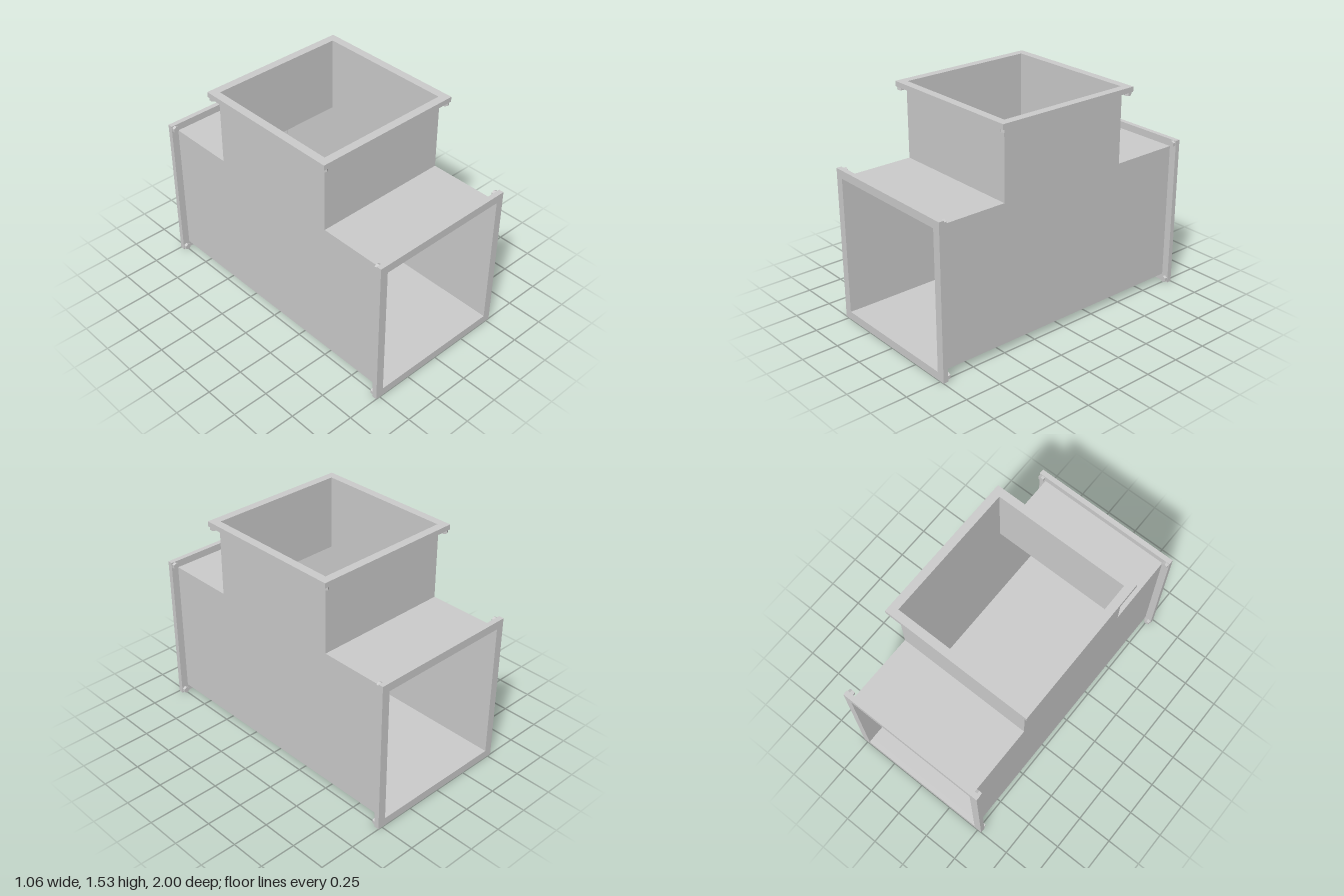
import * as THREE from 'three';

const HALF = 0.48;    // half width of the duct, outside
const WALL = 0.004;   // sheet thickness
const AXIS = 0.53;    // height of the main duct's centre line
const TOP = 1.53;     // height of the branch mouth
const FLANGE = 0.53;  // half width of a flange
const DEPTH = 0.035;  // flange thickness
const LAP = 0.02;     // distance from a mouth to the sheet edge inside its flange

const material = new THREE.MeshStandardMaterial({ color: 0xcccccc });

function add(parent, name, geometry, x = 0, y = 0, z = 0) {
  const mesh = new THREE.Mesh(geometry, material);
  mesh.name = name;
  mesh.position.set(x, y, z);
  parent.add(mesh);
  return mesh;
}

function square(path, h) {
  path.moveTo(-h, -h);
  path.lineTo(h, -h);
  path.lineTo(h, h);
  path.lineTo(-h, h);
  path.closePath();
  return path;
}

// Square frame with a hex nut behind each corner; its outer face lies at local z = 0
function createFlange(name) {
  const flange = new THREE.Group();
  flange.name = name;
  const shape = square(new THREE.Shape(), FLANGE);
  shape.holes.push(square(new THREE.Path(), 0.474));
  add(flange, 'flangeFrame',
    new THREE.ExtrudeGeometry(shape, { depth: DEPTH, bevelEnabled: false }), 0, 0, -DEPTH);

  const nut = new THREE.CylinderGeometry(0.023, 0.023, 0.022, 6).rotateX(Math.PI / 2).toNonIndexed();
  nut.computeVertexNormals();
  for (const x of [-1, 1]) {
    for (const y of [-1, 1]) {
      add(flange, 'cornerNut', nut, x * 0.506, y * 0.506, -DEPTH - 0.01);
    }
  }
  return flange;
}

export function createModel() {
  const model = new THREE.Group();
  model.name = 'ductTee';

  const end = 1 - LAP;
  const low = AXIS - HALF;
  const high = AXIS + HALF;
  const rim = TOP - LAP;

  // T-shaped side sheets, drawn in the z-y plane
  const tee = new THREE.Shape([
    [-end, low], [end, low], [end, high], [HALF, high],
    [HALF, rim], [-HALF, rim], [-HALF, high], [-end, high],
  ].map(([z, y]) => new THREE.Vector2(z, y)));
  const sideSheet = new THREE.ExtrudeGeometry(tee, { depth: WALL, bevelEnabled: false })
    .rotateY(-Math.PI / 2);
  add(model, 'leftSide', sideSheet, HALF);
  add(model, 'rightSide', sideSheet, -HALF + WALL);

  // Bottom, shoulders and branch walls fit between the sides
  const span = 2 * (HALF - WALL);
  add(model, 'bottom', new THREE.BoxGeometry(span, WALL, 2 * end), 0, low + WALL / 2, 0);
  const shoulder = new THREE.BoxGeometry(span, WALL, end - HALF + WALL);
  const branchWall = new THREE.BoxGeometry(span, rim - high, WALL);
  for (const [side, s] of [['front', 1], ['back', -1]]) {
    add(model, side + 'Shoulder', shoulder, 0, high - WALL / 2, s * (end + HALF - WALL) / 2);
    add(model, side + 'BranchWall', branchWall, 0, (rim + high) / 2, s * (HALF - WALL / 2));
  }

  // Flanges on the three mouths
  const front = createFlange('frontFlange');
  front.position.set(0, AXIS, 1);
  const back = createFlange('backFlange');
  back.position.set(0, AXIS, -1);
  back.rotation.y = Math.PI;
  const top = createFlange('topFlange');
  top.position.set(0, TOP, 0);
  top.rotation.x = -Math.PI / 2;
  model.add(front, back, top);

  return model;
}
